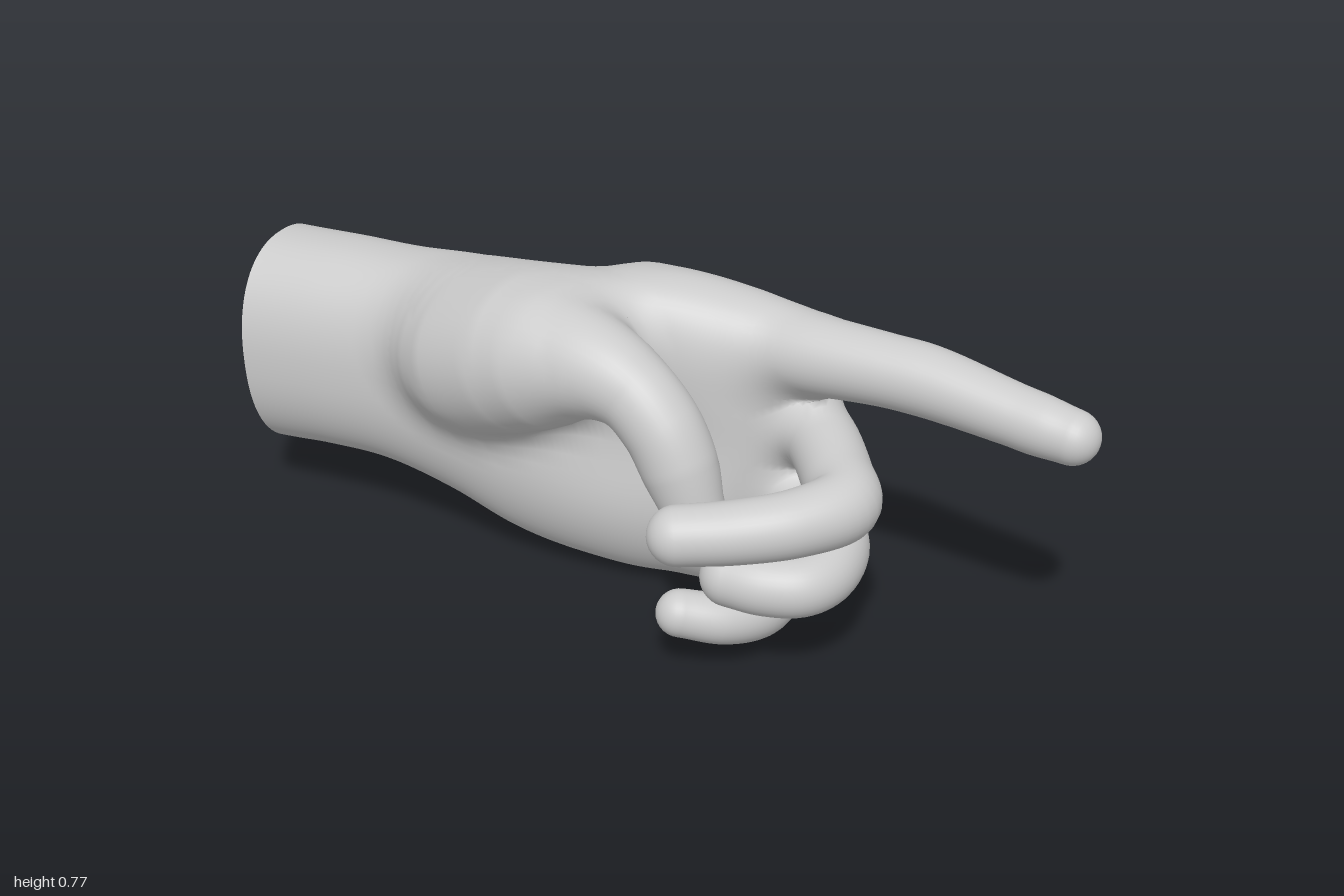
import * as THREE from 'three';

const SIDES = 36;
const PALM_SIDES = 72;
const PALM_END = 0.36;

// Wrist and palm sections, evenly spaced along x: [bottom, top, back, front]
const SECTIONS = [
  [0.125, 0.636, -0.365, 0.04],
  [0.138, 0.645, -0.357, 0.04],
  [0.138, 0.655, -0.35, 0.038],
  [0.1, 0.685, -0.35, 0.04],
  [0.037, 0.72, -0.355, 0.04],
  [0.008, 0.745, -0.36, 0.03],
  [0.004, 0.748, -0.357, 0.005],
  [0.05, 0.71, -0.34, -0.035],
  [0.31, 0.655, -0.275, -0.14],
];
const outlines = [0, 1, 2, 3].map((k) => new THREE.SplineCurve(SECTIONS.map((s, i) => new THREE.Vector2(i, s[k]))));

// Finger stations from root to tip: [x, y, z, radius]
const FINGERS = {
  // Thumb grows out of its fleshy base and folds down across the palm
  thumb: [
    [-0.52, 0.49, -0.085, 0.11], [-0.38, 0.525, 0.0, 0.168], [-0.2, 0.595, 0.065, 0.165],
    [-0.05, 0.632, 0.115, 0.118], [0.07, 0.615, 0.142, 0.09], [0.15, 0.55, 0.155, 0.085],
    [0.195, 0.47, 0.16, 0.082], [0.228, 0.39, 0.165, 0.068],
  ],
  // Index finger points straight out
  indexFinger: [
    [-0.05, 0.625, -0.19, 0.1], [0.2, 0.615, -0.172, 0.095], [0.36, 0.624, -0.155, 0.087],
    [0.52, 0.63, -0.145, 0.078], [0.62, 0.628, -0.14, 0.076], [0.8, 0.61, -0.118, 0.066],
    [0.87, 0.603, -0.109, 0.064], [0.942, 0.597, -0.1, 0.058],
  ],
  // The other three curl towards the palm
  middleFinger: [
    [0.02, 0.46, -0.24, 0.09], [0.24, 0.452, -0.235, 0.09], [0.37, 0.438, -0.155, 0.08],
    [0.475, 0.423, -0.02, 0.077], [0.525, 0.418, 0.07, 0.077], [0.465, 0.41, 0.168, 0.071],
    [0.36, 0.4, 0.245, 0.067], [0.262, 0.398, 0.305, 0.064],
  ],
  ringFinger: [
    [0, 0.28, -0.25, 0.09], [0.2, 0.27, -0.25, 0.085], [0.35, 0.255, -0.145, 0.077],
    [0.462, 0.247, -0.05, 0.076], [0.487, 0.238, 0.06, 0.07], [0.46, 0.235, 0.125, 0.067],
    [0.39, 0.235, 0.156, 0.066], [0.315, 0.235, 0.16, 0.064],
  ],
  littleFinger: [
    [-0.05, 0.11, -0.21, 0.08], [0.11, 0.09, -0.22, 0.08], [0.24, 0.085, -0.145, 0.068],
    [0.325, 0.087, -0.05, 0.064], [0.336, 0.1, 0.06, 0.061], [0.295, 0.117, 0.145, 0.056],
    [0.218, 0.138, 0.197, 0.052],
  ],
};

// Centre, half sizes and forward lean of the palm at x
function palmAt(x) {
  const t = THREE.MathUtils.clamp((x + 1) / (PALM_END + 1), 0, 1);
  const [bottom, top, back, front] = outlines.map((c) => c.getPoint(t).y);
  return {
    yc: (top + bottom) / 2, hy: (top - bottom) / 2, zc: (front + back) / 2, hz: (front - back) / 2,
    lean: 0.11 * Math.exp(-(((x + 0.2) / 0.3) ** 2)),
  };
}

// Distance to the palm, with a cupped hollow in front
function palmDistance(x, y, z) {
  const { yc, hy, zc, hz, lean } = palmAt(x);
  const v = (y - yc) / hy;
  let dz = z - zc - lean * THREE.MathUtils.clamp(v, 0, 1) ** 2;
  if (dz > 0) {
    const hollow = 0.045 * Math.exp(-(((x + 0.02) / 0.22) ** 2) - ((y - 0.4) / 0.15) ** 2);
    dz += hollow * Math.min(1, dz / hz);
  }
  const rho = (Math.abs(v) ** 2.27 + Math.abs(dz / hz) ** 2.27) ** (1 / 2.27) + 1e-6;
  const d = (1 - 1 / rho) * Math.hypot(y - yc, dz);
  const beyond = x - PALM_END;
  return beyond > 0 ? Math.hypot(Math.max(d, 0), beyond) : Math.max(d, beyond);
}

// Distance to a finger, as a chain of tapering capsules
function fingerDistance(chain, x, y, z) {
  let best = Infinity;
  for (let i = 0; i < chain.length - 1; i++) {
    const a = chain[i].p, b = chain[i + 1].p;
    const ux = b.x - a.x, uy = b.y - a.y, uz = b.z - a.z;
    const dot = (x - a.x) * ux + (y - a.y) * uy + (z - a.z) * uz;
    const t = Math.min(1, Math.max(0, dot / (ux * ux + uy * uy + uz * uz)));
    const dx = x - a.x - ux * t, dy = y - a.y - uy * t, dz = z - a.z - uz * t;
    best = Math.min(best, Math.sqrt(dx * dx + dy * dy + dz * dz) - chain[i].r - (chain[i + 1].r - chain[i].r) * t);
  }
  return best;
}

// Centre line and radii of a finger
function fingerChain(stations) {
  const path = new THREE.CatmullRomCurve3(stations.map((s) => new THREE.Vector3(s[0], s[1], s[2])));
  const radii = new THREE.SplineCurve(stations.map((s, i) => new THREE.Vector2(i, s[3])));
  const steps = (stations.length - 1) * 7;
  return Array.from({ length: steps + 1 }, (_, i) => ({
    p: path.getPoint(i / steps), tangent: path.getTangent(i / steps), r: radii.getPoint(i / steps).y,
  }));
}

// Round rings along a finger, closed with a dome
function fingerRings(chain) {
  const tangent = chain[0].tangent.clone();
  const normal = new THREE.Vector3(0, 1, 0).cross(tangent).normalize();
  const turn = new THREE.Quaternion();
  const ring = (centre, r) => {
    const side = tangent.clone().cross(normal);
    return Array.from({ length: SIDES }, (_, j) => {
      const a = (j / SIDES) * Math.PI * 2;
      return centre.clone().addScaledVector(normal, r * Math.cos(a)).addScaledVector(side, r * Math.sin(a));
    });
  };
  const rings = chain.map((c) => {
    normal.applyQuaternion(turn.setFromUnitVectors(tangent, c.tangent));
    tangent.copy(c.tangent);
    return ring(c.p, c.r);
  });
  const { p, r } = chain[chain.length - 1];
  for (let i = 1; i <= 8; i++) {
    const a = (i / 8) * Math.PI * 0.499;
    rings.push(ring(p.clone().addScaledVector(tangent, r * Math.sin(a)), r * Math.cos(a)));
  }
  return rings;
}

// Superellipse rings from the open wrist to the knuckles, then closing inwards
function palmRings() {
  const power = (v) => Math.sign(v) * Math.abs(v) ** 0.88;
  return Array.from({ length: 105 }, (_, i) => {
    const x = -1 + (Math.min(i, 92) / 92) * (PALM_END + 1);
    const shrink = 1 - Math.max(0, i - 92) / 12.01;
    const { yc, hy, zc, hz, lean } = palmAt(x);
    return Array.from({ length: PALM_SIDES }, (_, j) => {
      const a = (j / PALM_SIDES) * Math.PI * 2;
      const v = power(Math.cos(a));
      return new THREE.Vector3(
        x, yc + hy * v * shrink, zc + hz * power(Math.sin(a)) * shrink + lean * Math.max(v, 0) ** 2 * shrink);
    });
  });
}

// Skin rings, settling each vertex on the blended surface of the whole hand
function skinGeometry(rings, field) {
  const n = rings[0].length, pos = [], normals = [], idx = [];
  const e = 0.002;
  const gradient = (p) => new THREE.Vector3(
    field(p.x + e, p.y, p.z) - field(p.x - e, p.y, p.z),
    field(p.x, p.y + e, p.z) - field(p.x, p.y - e, p.z),
    field(p.x, p.y, p.z + e) - field(p.x, p.y, p.z - e),
  ).divideScalar(2 * e);
  for (const p of rings.flat()) {
    for (let k = 0; k < 3; k++) {
      const f = field(p.x, p.y, p.z);
      if (f < -0.04 || Math.abs(f) < 0.0005) break;
      const g = gradient(p);
      p.addScaledVector(g, -f / Math.max(g.lengthSq(), 0.5));
    }
    const g = gradient(p).normalize();
    // The wrist opening is cut at a slight slant
    const slant = 0.1 * Math.max(0, -0.7 - p.x) * (0.64 - p.y) / 0.5;
    pos.push(p.x + slant, p.y, p.z);
    normals.push(g.x, g.y, g.z);
  }
  for (let i = 0; i < rings.length - 1; i++) {
    for (let j = 0; j < n; j++) {
      const a = i * n + j, b = i * n + (j + 1) % n;
      idx.push(a, b, b + n, a, b + n, a + n);
    }
  }
  const geometry = new THREE.BufferGeometry();
  geometry.setAttribute('position', new THREE.Float32BufferAttribute(pos, 3));
  geometry.setAttribute('normal', new THREE.Float32BufferAttribute(normals, 3));
  geometry.setIndex(idx);
  return geometry;
}

export function createModel() {
  const hand = new THREE.Group();
  hand.name = 'pointingHand';
  const skin = new THREE.MeshStandardMaterial({ color: 0xcccccc, side: THREE.DoubleSide });
  const chains = Object.entries(FINGERS).map(([name, stations]) => ({
    name, chain: fingerChain(stations), blend: name === 'thumb' ? 0.09 : 0.07,
  }));
  // Each finger melts softly into the palm but not into its neighbours
  const field = (x, y, z) => {
    const palm = palmDistance(x, y, z);
    return Math.min(...chains.map(({ chain, blend }) => {
      const d = fingerDistance(chain, x, y, z);
      return Math.min(palm, d) - Math.max(blend - Math.abs(palm - d), 0) ** 2 / (4 * blend);
    }));
  };
  const add = (name, rings) => {
    const mesh = new THREE.Mesh(skinGeometry(rings, field), skin);
    mesh.name = name;
    hand.add(mesh);
  };
  add('wristAndPalm', palmRings());
  for (const { name, chain } of chains) add(name, fingerRings(chain));
  return hand;
}
